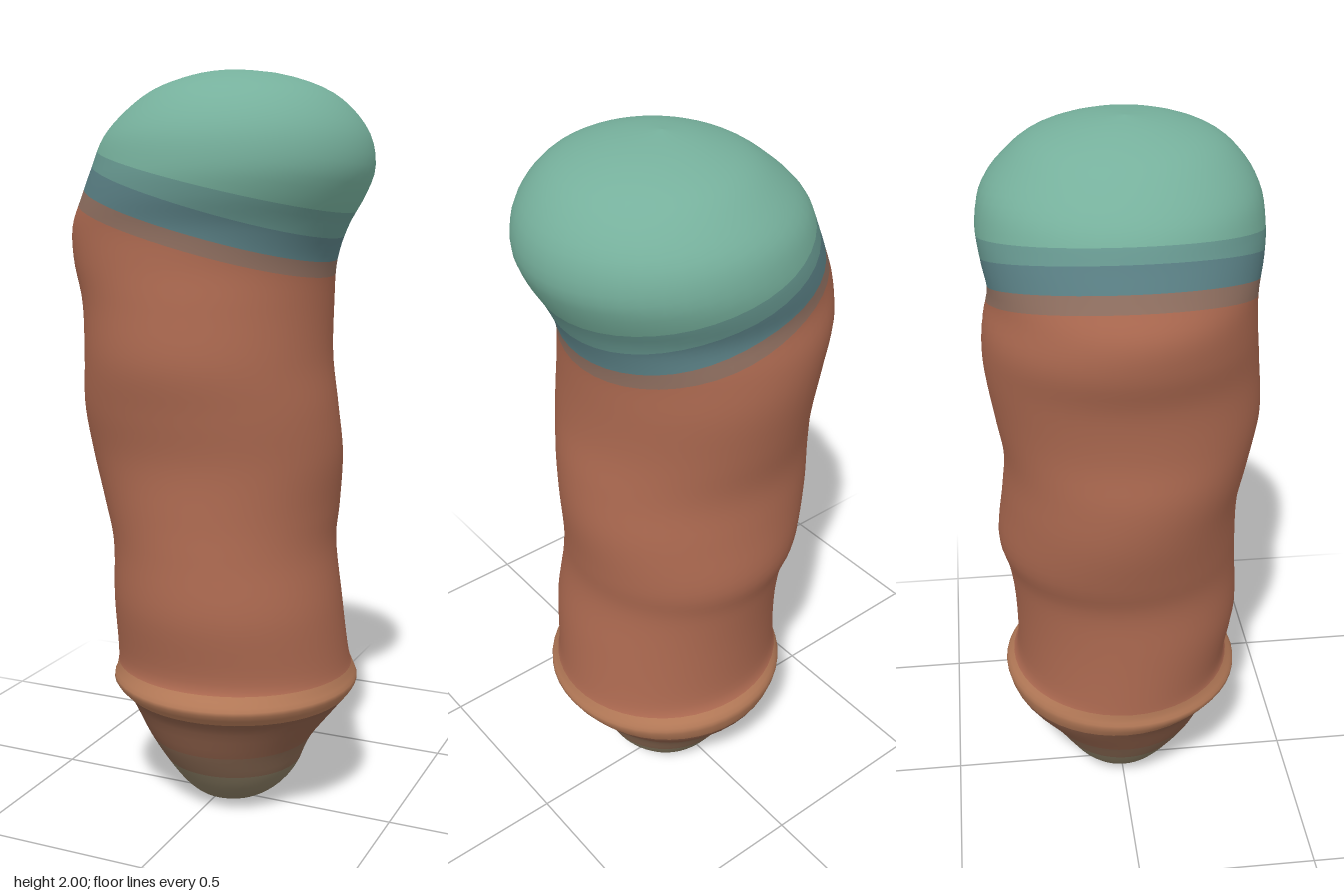
import * as THREE from 'three';

// Cross-sections from the bottom up: height, x min, x max, z min, z max
const SECTIONS = [
  [0.00, 0.03, 0.03, 0.01, 0.01],
  [0.015, -0.05, 0.11, -0.07, 0.08],
  [0.05, -0.10, 0.17, -0.13, 0.13],
  [0.11, -0.145, 0.22, -0.175, 0.18],
  [0.20, -0.20, 0.26, -0.23, 0.235],
  [0.30, -0.26, 0.335, -0.31, 0.28],
  [0.36, -0.295, 0.38, -0.335, 0.34],
  [0.39, -0.29, 0.373, -0.333, 0.332],
  [0.44, -0.288, 0.36, -0.302, 0.31],
  [0.60, -0.288, 0.34, -0.30, 0.333],
  [0.75, -0.292, 0.316, -0.315, 0.325],
  [0.86, -0.325, 0.32, -0.34, 0.318],
  [1.00, -0.362, 0.33, -0.325, 0.315],
  [1.13, -0.375, 0.32, -0.315, 0.337],
  [1.26, -0.365, 0.30, -0.335, 0.36],
  [1.40, -0.376, 0.295, -0.355, 0.35],
  [1.51, -0.407, 0.302, -0.353, 0.338],
  [1.60, -0.41, 0.335, -0.335, 0.336],
  [1.68, -0.375, 0.38, -0.35, 0.354],
  [1.75, -0.343, 0.405, -0.356, 0.36],
  [1.83, -0.305, 0.393, -0.338, 0.345],
  [1.90, -0.235, 0.345, -0.28, 0.30],
  [1.95, -0.16, 0.275, -0.21, 0.235],
  [1.985, -0.06, 0.165, -0.10, 0.13],
  [2.00, 0.03, 0.03, 0.015, 0.015],
];

// Parts from the bottom up: name, colour, top height, tilt of the top edge, rows
const PARTS = [
  ['tip', 0x85785f, 0.13, 0, 10],
  ['tipBlend', 0x866650, 0.20, 0, 3],
  ['cone', 0x8c5e48, 0.325, 0, 5],
  ['collar', 0xb57a58, 0.41, 0, 6],
  ['shaft', 0xac6950, 1.57, -0.28, 44],
  ['shaftBlend', 0x8f6f60, 1.61, -0.28, 2],
  ['capRim', 0x5a8085, 1.67, -0.28, 4],
  ['capBlend', 0x679890, 1.72, -0.24, 3],
  ['cap', 0x76b09c, 2.00, 0, 20],
];
const SEGMENTS = 48;
const LAST = SECTIONS.length - 1;

// Smooth (Catmull-Rom) value of one section column at parameter t
function column(t, k) {
  const i = Math.min(Math.floor(t), LAST - 1), f = t - i;
  const p = (n) => SECTIONS[THREE.MathUtils.clamp(n, 0, LAST)][k];
  const a = p(i - 1), b = p(i), c = p(i + 1), d = p(i + 2);
  return b + 0.5 * f * (c - a + f * (2 * a - 5 * b + 4 * c - d + f * (3 * (b - c) + d - a)));
}

// Section parameter whose height is y
function parameterAt(y) {
  if (y <= 0) return 0;
  if (y >= 2) return LAST;
  let lo = 0, hi = LAST;
  for (let n = 0; n < 24; n++) {
    const mid = (lo + hi) / 2;
    if (column(mid, 0) < y) lo = mid; else hi = mid;
  }
  return lo;
}

function surfacePoint(t, angle) {
  const [x0, x1, z0, z1] = [1, 2, 3, 4].map((k) => column(t, k));
  return [
    (x0 + x1) / 2 + (x1 - x0) / 2 * Math.cos(angle),
    column(t, 0),
    (z0 + z1) / 2 + (z1 - z0) / 2 * Math.sin(angle),
  ];
}

// Triangles joining a run of rings, facing outward
function ringIndices(rows) {
  const index = [];
  for (let r = 0; r < rows; r++) {
    for (let s = 0; s < SEGMENTS; s++) {
      const a = r * SEGMENTS + s, b = r * SEGMENTS + (s + 1) % SEGMENTS;
      const c = a + SEGMENTS, d = b + SEGMENTS;
      index.push(a, c, b, b, c, d);
    }
  }
  return index;
}

export function createModel() {
  const group = new THREE.Group();

  // The whole skin as rings; the rings lean with the tilted edge of the cap
  const points = [];
  let lower = [0, 0], total = 0;
  PARTS.forEach(([, , top, tilt, rows], p) => {
    for (let r = p ? 1 : 0; r <= rows; r++) {
      for (let s = 0; s < SEGMENTS; s++) {
        const angle = s / SEGMENTS * Math.PI * 2, lean = 0.35 * Math.cos(angle);
        const from = parameterAt(lower[0] + lower[1] * lean);
        const to = parameterAt(top + tilt * lean);
        points.push(...surfacePoint(THREE.MathUtils.lerp(from, to, r / rows), angle));
      }
    }
    lower = [top, tilt];
    total += rows;
  });
  const skin = new THREE.BufferGeometry();
  skin.setAttribute('position', new THREE.Float32BufferAttribute(points, 3));
  skin.setIndex(ringIndices(total));
  skin.computeVertexNormals();

  // Cut the skin into coloured parts that keep the shared smooth normals
  let start = 0;
  for (const [name, color, , , rows] of PARTS) {
    const geometry = new THREE.BufferGeometry();
    for (const key of ['position', 'normal']) {
      const part = skin.attributes[key].array.slice(start * SEGMENTS * 3, (start + rows + 1) * SEGMENTS * 3);
      geometry.setAttribute(key, new THREE.BufferAttribute(part, 3));
    }
    geometry.setIndex(ringIndices(rows));
    const mesh = new THREE.Mesh(geometry, new THREE.MeshStandardMaterial({ color }));
    mesh.name = name;
    group.add(mesh);
    start += rows;
  }
  return group;
}
